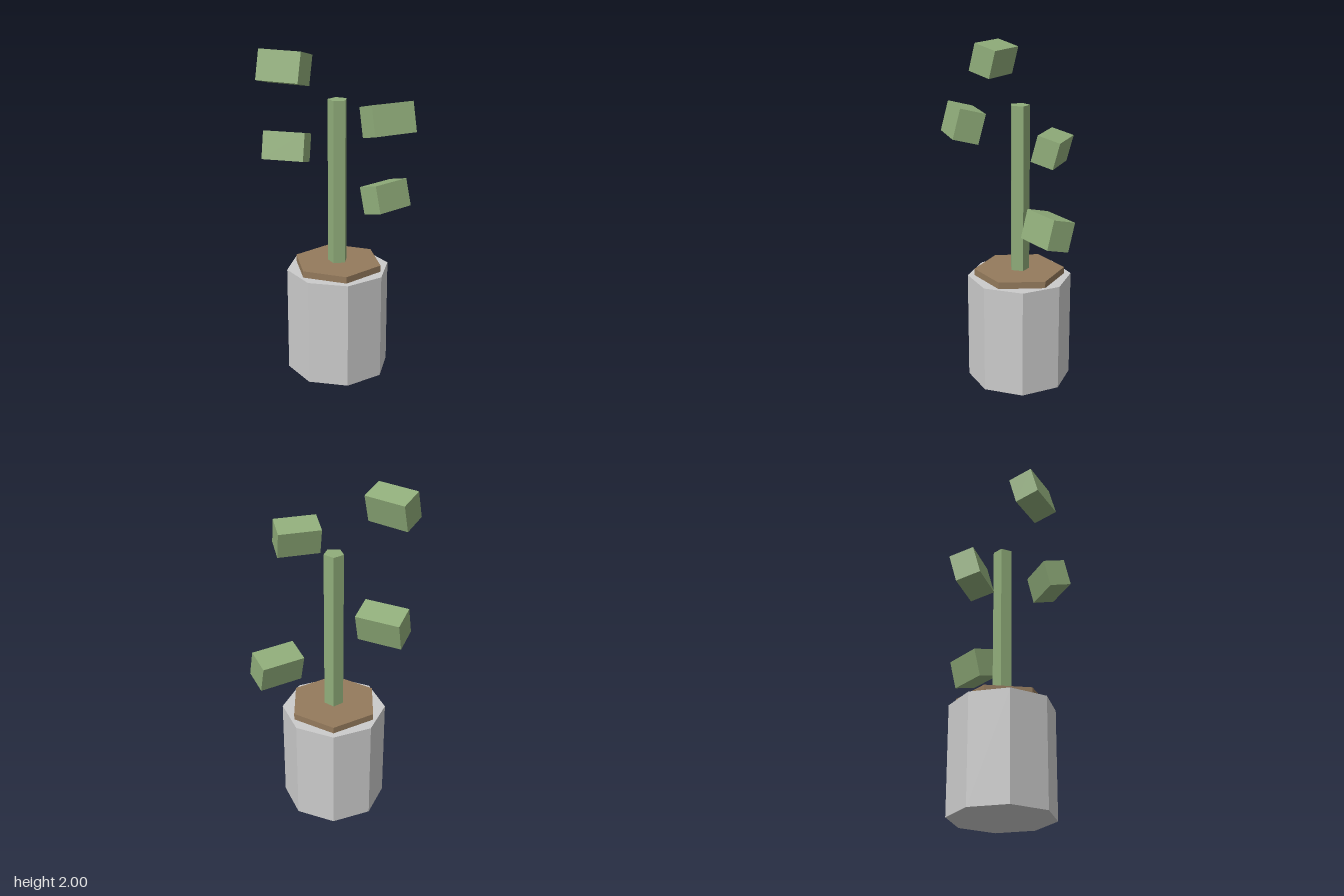
import * as THREE from 'three';

const CENTER_Z = -0.048; // axis of pot, soil and stem

export function createModel() {
  const group = new THREE.Group();
  const material = (color) => new THREE.MeshStandardMaterial({ color, flatShading: true });
  const grey = material(0xcccccc);
  const brown = material(0x947a5c);
  const green = material(0x90ad7a);

  // Upright faceted prism standing between two heights
  function prism(name, radius, sides, bottom, top, mat, turn = 0) {
    const mesh = new THREE.Mesh(new THREE.CylinderGeometry(radius, radius, top - bottom, sides), mat);
    mesh.name = name;
    mesh.position.set(0, (bottom + top) / 2, CENTER_Z);
    mesh.rotation.y = turn;
    group.add(mesh);
  }

  prism('pot', 0.31, 8, 0, 0.65, grey);
  prism('soil', 0.27, 6, 0.64, 0.69, brown);
  prism('stem', 0.059, 5, 0.68, 1.68, green, Math.PI);

  // Floating block leaves: position and heading in degrees, all tipped up at the front
  const leafShape = new THREE.BoxGeometry(0.257, 0.171, 0.147);
  const leaves = [
    [0.324, 1.032, -0.184, 30],
    [-0.271, 1.359, -0.265, -25],
    [0.217, 1.628, 0.277, 15],
    [-0.324, 1.898, 0.087, -35],
  ];
  leaves.forEach(([x, y, z, heading], i) => {
    const leaf = new THREE.Mesh(leafShape, green);
    leaf.name = `leaf${i + 1}`;
    leaf.position.set(x, y, z);
    leaf.rotation.set(THREE.MathUtils.degToRad(-15), THREE.MathUtils.degToRad(heading), 0, 'YXZ');
    group.add(leaf);
  });

  return group;
}
